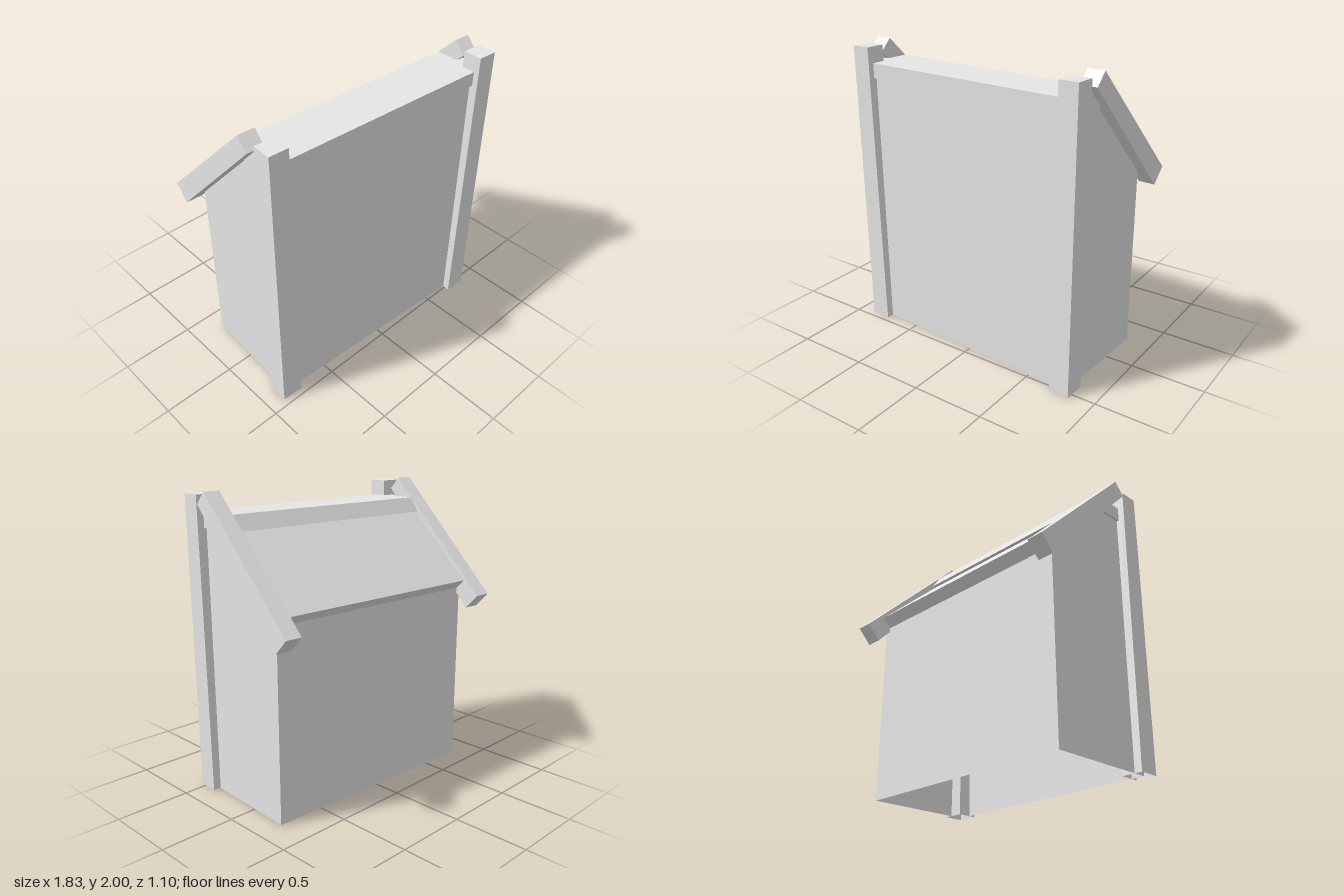
import * as THREE from 'three';

const paint = new THREE.MeshStandardMaterial({ color: 0xe6e6e6, side: THREE.DoubleSide });
paint.name = 'light grey';

// Flat-sided prism along x from a convex [z, y] outline, listed clockwise with z to the left and y up.
// The edge numbered openEdge is left out.
function prism(outline, x0, x1, openEdge = -1) {
  const pos = [];
  const tri = (a, b, c) => pos.push(...a, ...c, ...b);
  const at = (x, [z, y]) => [x, y, z];
  const n = outline.length;
  for (let i = 0; i < n; i++) {
    const p = outline[i], q = outline[(i + 1) % n];
    if (i !== openEdge) {
      tri(at(x0, p), at(x1, q), at(x0, q));
      tri(at(x0, p), at(x1, p), at(x1, q));
    }
    // gable ends, as a fan over the outline
    if (i > 0 && i < n - 1) {
      tri(at(x1, outline[0]), at(x1, q), at(x1, p));
      tri(at(x0, outline[0]), at(x0, p), at(x0, q));
    }
  }
  const g = new THREE.BufferGeometry();
  g.setAttribute('position', new THREE.Float32BufferAttribute(pos, 3));
  g.computeVertexNormals();
  return g;
}

// Tapered corner post without a bottom face, leaning slightly outward and forward
function postGeometry(side) {
  const h = 1.975;
  const g = new THREE.BoxGeometry(1, h, 1).translate(0, h / 2, 0);
  const idx = Array.from(g.index.array);
  idx.splice(18, 6);
  g.setIndex(idx);
  g.clearGroups();
  const p = g.attributes.position;
  for (let i = 0; i < p.count; i++) {
    const t = p.getY(i) / h;
    const width = 0.143 - 0.012 * t;
    p.setX(i, p.getX(i) * width + side * (0.79 + 0.017 * t));
    p.setZ(i, p.getZ(i) * width + 0.427 + 0.016 * t);
  }
  g.computeVertexNormals();
  return g;
}

export function createModel() {
  const model = new THREE.Group();
  model.name = 'leanToShed';
  const body = new THREE.Group();
  body.name = 'shed';
  body.rotation.y = -0.0524;
  model.add(body);

  const add = (name, geometry) => {
    const m = new THREE.Mesh(geometry, paint);
    m.name = name;
    body.add(m);
  };

  // walls, open at the floor, set in a little under the roof
  add('walls', prism(
    [[0.449, 0], [0.449, 1.77], [0.19, 1.77], [-0.318, 1.268], [-0.318, 0]],
    -0.809, 0.809, 4));

  // flat roof board with a slanted rear edge
  add('flatRoof', prism([[0.469, 1.77], [0.469, 1.867], [0.137, 1.867], [0.071, 1.77]], -0.826, 0.826));

  // sloping roof board, tucked just under the flat one
  add('slopingRoof', prism([[0.19, 1.77], [0.098, 1.77], [-0.38, 1.33], [-0.318, 1.268]], -0.82, 0.82));

  // sloping edge beams and front posts, one of each per side
  const beam = [[0.345, 1.92], [0.27, 2.0], [-0.505, 1.24], [-0.41, 1.14]];
  for (const side of [1, -1]) {
    const word = side > 0 ? 'left' : 'right';
    const c = side > 0 ? 0.83 : -0.84;
    add(word + 'RoofBeam', prism(beam, c - 0.057, c + 0.057));
    add(word + 'Post', postGeometry(side));
  }
  return model;
}
